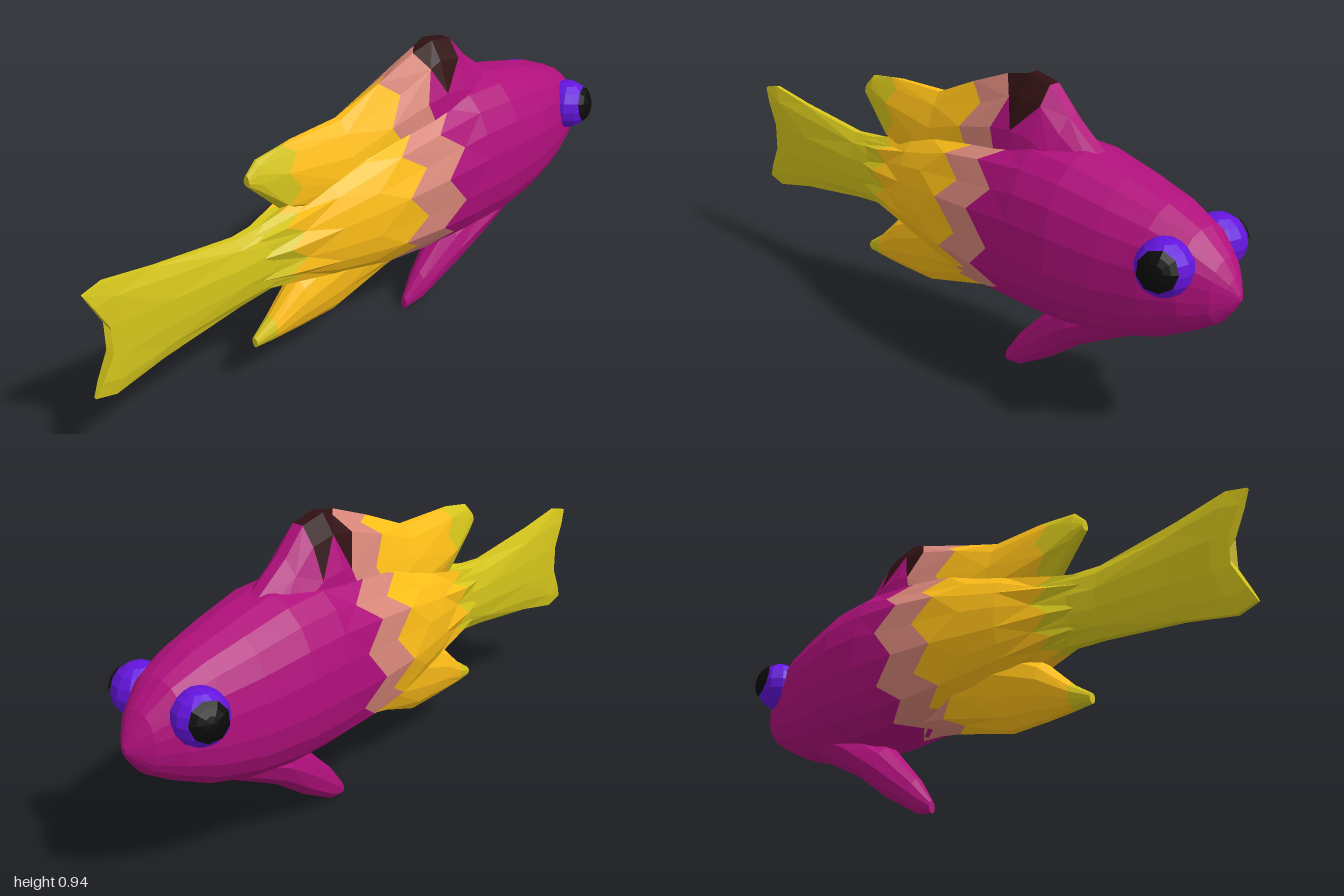
import * as THREE from 'three';

const COLORS = {
  magenta: 0xb0107c, pink: 0xd9877a, yellow: 0xffbf18, olive: 0xd6c61c,
  dark: 0x301012, purple: 0x6414dc, black: 0x0a0a0a,
};
const MATERIALS = {};
for (const key in COLORS) {
  MATERIALS[key] = new THREE.MeshStandardMaterial({ color: COLORS[key], flatShading: true });
}

// Lofts rounded sections along x, one mesh per colour.
// Section: [x, bottom, top, half width, colour up to the next section, zigzag, sweep of the edges]
function loft(name, sections, { sides = 12, power = 2, taper = 0, pick = (c) => c } = {}) {
  const group = new THREE.Group();
  group.name = name;
  const buckets = {};
  const flat = Math.cos(Math.PI / sides);
  const bend = (s) => Math.sign(s) * Math.abs(s) ** (2 / power);

  const rings = sections.map(([x, y0, y1, w, , zig = 0, sweep = 0]) =>
    Array.from({ length: sides }, (_, j) => {
      const a = ((j + 0.5) / sides) * Math.PI * 2;
      const v = bend(Math.cos(a) / flat);
      return new THREE.Vector3(
        x + (j % 2 ? zig : -zig) + sweep * Math.abs(v),
        (y0 + y1) / 2 + (v * (y1 - y0)) / 2,
        w * bend(Math.sin(a)) * (1 - taper * v));
    }));
  const centers = sections.map(([x, y0, y1]) => new THREE.Vector3(x, (y0 + y1) / 2, 0));

  const tri = (color, a, b, c) => {
    const mid = a.clone().add(b).add(c).divideScalar(3);
    const list = (buckets[pick(color, mid)] ??= []);
    for (const p of [a, b, c]) list.push(p.x, p.y, p.z);
  };
  const last = sections.length - 1;
  for (let j = 0; j < sides; j++) {
    const k = (j + 1) % sides;
    for (let i = 0; i < last; i++) {
      const a = rings[i][j], b = rings[i][k], c = rings[i + 1][j], d = rings[i + 1][k];
      const color = sections[i][4];
      if ((i + j) % 2) {
        tri(color, a, b, c);
        tri(color, b, d, c);
      } else {
        tri(color, a, b, d);
        tri(color, a, d, c);
      }
    }
    tri(sections[0][4], centers[0], rings[0][k], rings[0][j]);
    tri(sections[last - 1][4], centers[last], rings[last][j], rings[last][k]);
  }
  for (const color in buckets) {
    const geo = new THREE.BufferGeometry();
    geo.setAttribute('position', new THREE.Float32BufferAttribute(buckets[color], 3));
    geo.computeVertexNormals();
    const mesh = new THREE.Mesh(geo, MATERIALS[color]);
    mesh.name = `${name} ${color}`;
    group.add(mesh);
  }
  return group;
}

// Eyeball with a pupil cap turned outward and slightly forward
function eye(side) {
  const group = new THREE.Group();
  group.name = side > 0 ? 'rightEye' : 'leftEye';
  const ball = new THREE.Mesh(new THREE.SphereGeometry(0.08, 12, 8), MATERIALS.purple);
  ball.name = 'eyeball';
  const pupil = new THREE.Mesh(
    new THREE.SphereGeometry(0.084, 9, 3, 0, Math.PI * 2, 0, 0.75), MATERIALS.black);
  pupil.name = 'pupil';
  const gaze = new THREE.Vector3(0.35, 0.2, side).normalize();
  pupil.quaternion.setFromUnitVectors(new THREE.Vector3(0, 1, 0), gaze);
  group.add(ball, pupil);
  group.position.set(0.84, 0.573, side * 0.115);
  return group;
}

export function createModel() {
  const model = new THREE.Group();
  model.name = 'fish';

  model.add(loft('body', [
    [-0.46, 0.37, 0.57, 0.035, 'olive'],
    [-0.32, 0.355, 0.595, 0.075, 'yellow', 0.03],
    [-0.18, 0.32, 0.65, 0.115, 'yellow'],
    [-0.06, 0.295, 0.69, 0.145, 'yellow'],
    [0.08, 0.275, 0.73, 0.168, 'pink', 0.04],
    [0.23, 0.262, 0.76, 0.187, 'magenta', 0.04],
    [0.36, 0.258, 0.78, 0.198, 'magenta'],
    [0.5, 0.262, 0.775, 0.2, 'magenta'],
    [0.65, 0.28, 0.74, 0.178, 'magenta'],
    [0.78, 0.318, 0.705, 0.15, 'magenta'],
    [0.88, 0.37, 0.66, 0.115, 'magenta'],
    [0.95, 0.415, 0.595, 0.068, 'magenta'],
    [0.98, 0.455, 0.55, 0.035, 'magenta'],
    [1.0, 0.49, 0.51, 0.008, 'magenta'],
  ], { sides: 20, power: 2.3 }));

  // Forked tail
  model.add(loft('tailFin', [
    [-0.91, 0.285, 0.615, 0.018, 'olive', 0, -0.085],
    [-0.86, 0.268, 0.632, 0.024, 'olive', 0, -0.07],
    [-0.74, 0.305, 0.605, 0.029, 'olive', 0, -0.03],
    [-0.5, 0.345, 0.572, 0.04, 'olive'],
    [-0.3, 0.365, 0.59, 0.06, 'olive'],
  ]));

  // Humped back fin with a dark spot at its peak
  const spot = (color, p) => (p.x > 0.22 && p.x < 0.37 && p.y > 0.84 ? 'dark' : color);
  model.add(loft('backFin', [
    [-0.445, 0.715, 0.75, 0.012, 'olive'],
    [-0.41, 0.68, 0.785, 0.022, 'olive'],
    [-0.3, 0.59, 0.8, 0.042, 'yellow', 0.02],
    [-0.1, 0.52, 0.803, 0.066, 'yellow'],
    [0.08, 0.53, 0.87, 0.085, 'pink', 0.03],
    [0.21, 0.53, 0.925, 0.1, 'magenta', 0.02],
    [0.27, 0.53, 0.942, 0.103, 'magenta'],
    [0.35, 0.53, 0.925, 0.103, 'magenta'],
    [0.42, 0.53, 0.85, 0.1, 'magenta'],
    [0.53, 0.53, 0.765, 0.09, 'magenta'],
  ], { taper: 0.3, pick: spot }));

  // Rear belly fin
  model.add(loft('rearBellyFin', [
    [-0.445, 0.168, 0.2, 0.012, 'olive'],
    [-0.38, 0.166, 0.245, 0.03, 'yellow'],
    [-0.28, 0.165, 0.34, 0.05, 'yellow'],
    [-0.14, 0.167, 0.42, 0.068, 'yellow'],
    [0.06, 0.23, 0.44, 0.09, 'pink', 0.03],
    [0.2, 0.257, 0.44, 0.09, 'magenta', 0.03],
    [0.3, 0.29, 0.44, 0.08, 'magenta'],
  ], { taper: -0.2 }));

  // Front belly fin, trailing down and back
  model.add(loft('frontBellyFin', [
    [0.19, 0.0, 0.038, 0.012, 'magenta'],
    [0.25, 0.012, 0.12, 0.038, 'magenta'],
    [0.38, 0.092, 0.255, 0.07, 'magenta'],
    [0.5, 0.185, 0.34, 0.1, 'magenta'],
    [0.62, 0.25, 0.4, 0.1, 'magenta'],
    [0.72, 0.3, 0.4, 0.07, 'magenta'],
  ], { sides: 10 }));

  model.add(eye(1), eye(-1));
  return model;
}
